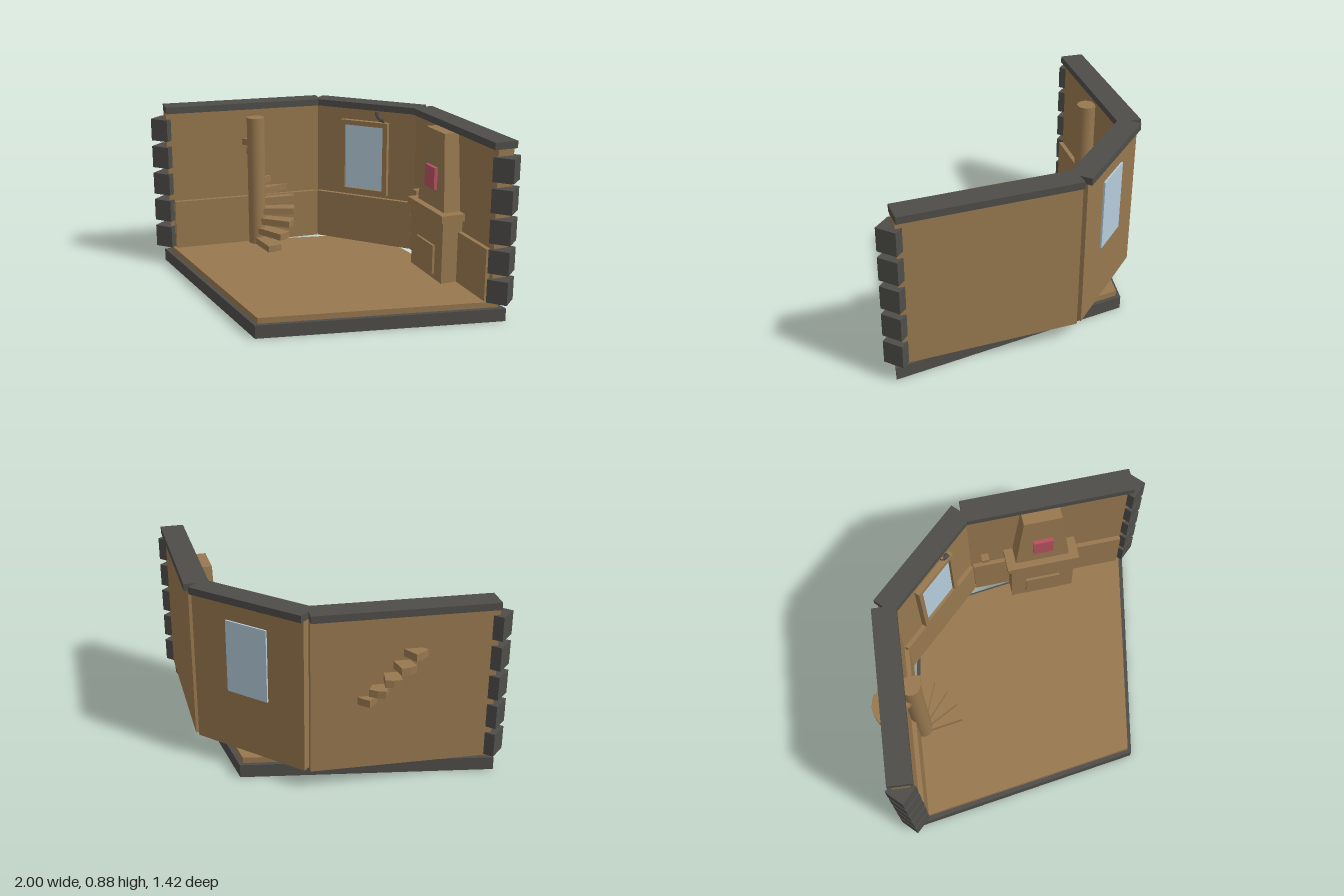
import * as THREE from 'three';

const mat = (name, color, side = THREE.FrontSide) => {
  const m = new THREE.MeshStandardMaterial({ color, side });
  m.name = name;
  return m;
};

export function createModel() {
  const wood = mat('warm wood', 0x97784f);
  const stone = mat('dark stone', 0x4e4d49);
  const glass = mat('pale glass', 0xb4cbda);
  const red = mat('muted red', 0xb5525f);

  const model = new THREE.Group();
  model.name = 'cutawayRoom';

  const add = (parent, name, geometry, material) => {
    const mesh = new THREE.Mesh(geometry, material);
    mesh.name = name;
    parent.add(mesh);
    return mesh;
  };
  // Box given by its limits on each axis
  const box = (parent, name, material, x0, x1, y0, y1, z0, z1) => {
    const mesh = add(parent, name, new THREE.BoxGeometry(x1 - x0, y1 - y0, z1 - z0), material);
    mesh.position.set((x0 + x1) / 2, (y0 + y1) / 2, (z0 + z1) / 2);
    return mesh;
  };
  // Flat outline on the ground plane, raised from y0 to y1
  const slab = (points, y0, y1) => {
    const shape = new THREE.Shape(points.map(([x, y]) => new THREE.Vector2(x, y)));
    return new THREE.ExtrudeGeometry(shape, { depth: y1 - y0, bevelEnabled: false })
      .rotateX(-Math.PI / 2).translate(0, y0, 0);
  };
  const rhombus = (a, b) => [[a, 0], [0, b], [-a, 0], [0, -b]];

  // Diamond floor
  add(model, 'foundation', slab(rhombus(0.985, 0.71), 0, 0.066), stone);
  add(model, 'floor', slab(rhombus(0.945, 0.685), 0.066, 0.095), wood);

  // Back wall with window
  const back = new THREE.Group();
  back.name = 'backWall';
  model.add(back);
  box(back, 'backPanel', wood, -0.31, 0.31, 0.095, 0.85, -0.625, -0.545);
  box(back, 'backWainscot', wood, -0.285, 0.285, 0.095, 0.36, -0.545, -0.522);
  box(back, 'backCap', stone, -0.31, 0.31, 0.85, 0.885, -0.645, -0.53);
  box(back, 'windowGlass', glass, -0.113, 0.113, 0.4, 0.762, -0.634, -0.53);
  for (const s of [-1, 1]) {
    const x = s * 0.125;
    box(back, 'windowFrameSide', wood, x - 0.013, x + 0.013, 0.378, 0.788, -0.545, -0.515);
    const y = 0.583 + s * 0.192;
    box(back, 'windowFrameRail', wood, -0.112, 0.112, y - 0.013, y + 0.013, -0.545, -0.515);
  }
  const hook = add(back, 'ceilingHook', new THREE.TorusGeometry(0.045, 0.012, 6, 10, Math.PI / 2), stone);
  hook.position.set(0.115, 0.845, -0.53);
  hook.rotation.z = Math.PI;

  // Slanted side walls; local +z faces into the room
  const sides = {};
  for (const s of [-1, 1]) {
    const wall = new THREE.Group();
    wall.name = s > 0 ? 'leftWall' : 'rightWall';
    wall.position.set(s * 0.6275, 0, -0.2925);
    wall.rotation.y = -s * 0.744;
    model.add(wall);
    sides[s] = wall;
    box(wall, 'sidePanel', wood, -0.432, 0.432, 0.095, 0.85, -0.041, 0.041);
    box(wall, 'sideWainscot', wood, -0.405, 0.405, 0.095, 0.36, 0.041, 0.064);
    box(wall, 'sideCap', stone, -0.432, 0.432, 0.85, 0.885, -0.06, 0.06);

    // Stacked corner stones
    for (let i = 0; i < 5; i++) {
      const y = 0.1 + i * 0.15;
      box(model, 'cornerStone', stone, s * 0.95 - 0.051, s * 0.95 + 0.051, y, y + 0.118, -0.051, 0.051);
    }
  }

  // Fireplace on the model's left wall
  const fireplace = new THREE.Group();
  fireplace.name = 'fireplace';
  fireplace.position.x = -0.045;
  sides[1].add(fireplace);
  box(fireplace, 'fireplaceBody', wood, -0.17, 0.17, 0.095, 0.42, 0.03, 0.15);
  box(fireplace, 'mantel', wood, -0.192, 0.192, 0.42, 0.458, 0.03, 0.168);
  box(fireplace, 'fireDoor', wood, -0.093, 0.093, 0.122, 0.275, 0.15, 0.163);
  // Hood narrows toward the top
  const hood = new THREE.BoxGeometry(0.286, 0.392, 0.102).translate(0, 0.654, 0.081);
  const p = hood.attributes.position;
  for (let i = 0; i < p.count; i++) {
    if (p.getY(i) < 0.65) continue;
    p.setX(i, p.getX(i) * 0.69);
    if (p.getZ(i) > 0.1) p.setZ(i, 0.12);
  }
  hood.computeVertexNormals();
  add(fireplace, 'chimneyHood', hood, wood);
  box(fireplace, 'redPanel', red, -0.05, 0.053, 0.555, 0.668, 0.11, 0.146);

  // Small bracket beside the mantel
  box(sides[1], 'smallBracket', wood, -0.36, -0.32, 0.43, 0.455, 0.04, 0.08);

  // Spiral stair winding through the other wall
  const stair = new THREE.Group();
  stair.name = 'spiralStair';
  stair.position.set(-0.535, 0, -0.265);
  model.add(stair);
  const pole = add(stair, 'stairPole', new THREE.CylinderGeometry(0.048, 0.048, 0.715, 32), wood);
  pole.position.y = 0.4525;
  const tread = [[0, -0.03], [0.205, -0.039], [0.21, 0], [0.205, 0.039], [0, 0.03]];
  for (let k = 0; k < 11; k++) {
    const y = 0.097 + k * 0.0555;
    const step = add(stair, 'stairStep', slab(tread, y, y + 0.036), wood);
    step.rotation.y = THREE.MathUtils.degToRad(-33 + 20 * k);
  }
  return model;
}
